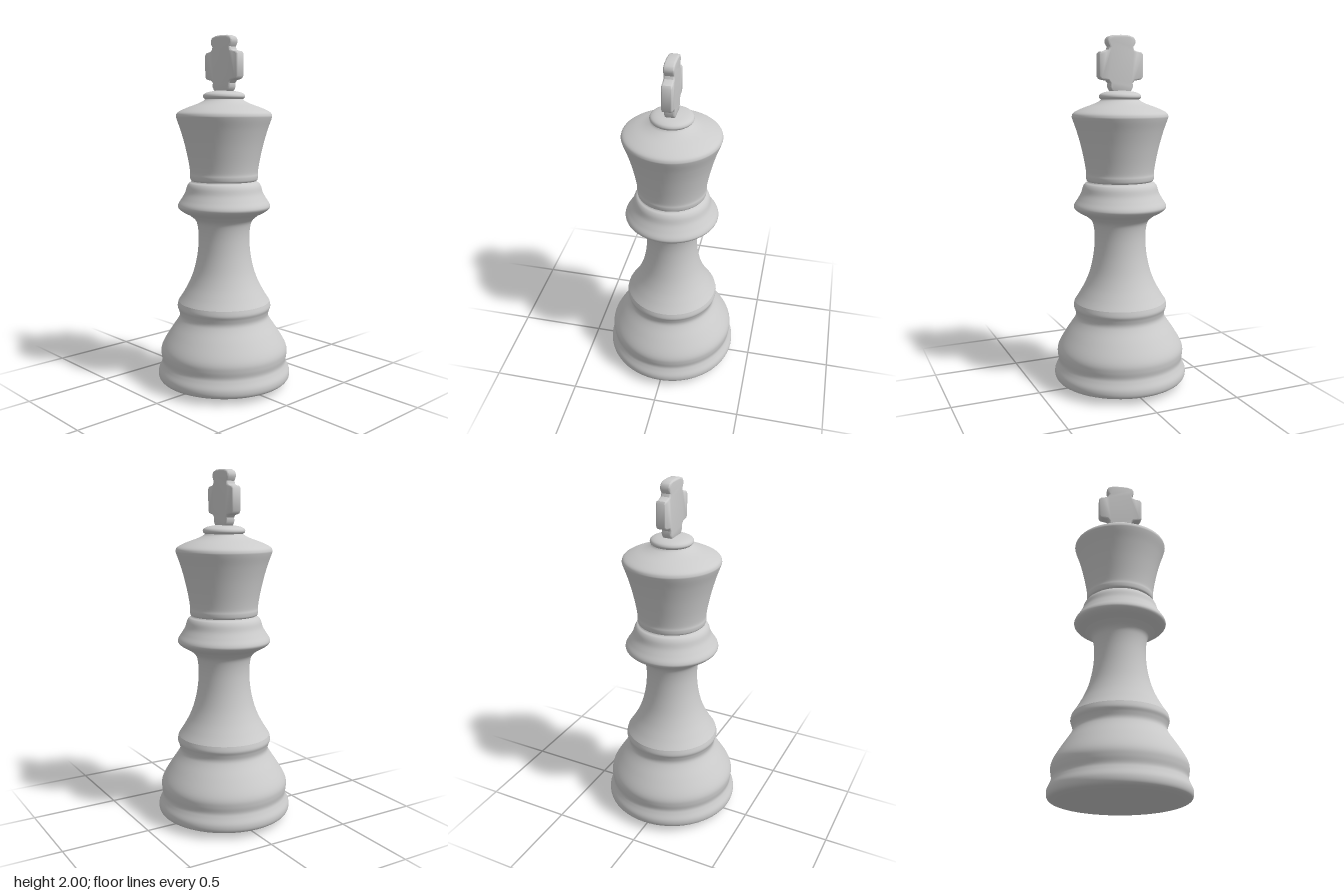
import * as THREE from 'three';
import { mergeVertices, toCreasedNormals } from 'three/addons/utils/BufferGeometryUtils.js';

const material = new THREE.MeshStandardMaterial({ color: 0xcccccc, side: THREE.DoubleSide });

// Smooth curve through [radius, height] points, turned about the y axis
function turned(name, points, steps) {
  const curve = new THREE.SplineCurve(points.map(([r, y]) => new THREE.Vector2(r, y)));
  const profile = curve.getPoints(steps).map(p => new THREE.Vector2(Math.max(p.x, 0), p.y));
  const mesh = new THREE.Mesh(new THREE.LatheGeometry(profile, 64), material);
  mesh.name = name;
  return mesh;
}

// Flat cross finial, upright in the yz plane
function finial() {
  const half = [
    [0.045, 1.685], [0.06, 1.7], [0.07, 1.718], [0.068, 1.738], [0.08, 1.752], [0.108, 1.757],
    [0.122, 1.761], [0.132, 1.775], [0.132, 1.895], [0.122, 1.908], [0.095, 1.912],
    [0.077, 1.92], [0.071, 1.935], [0.083, 1.955], [0.084, 1.973], [0.073, 1.989], [0.045, 1.998], [0, 2],
  ];
  const mirrored = half.slice(0, -1).reverse().map(([z, y]) => [-z, y]);
  const shape = new THREE.Shape([...half, ...mirrored].map(([z, y]) => new THREE.Vector2(z, y)));
  const bevel = 0.01;
  let geometry = new THREE.ExtrudeGeometry(shape, {
    depth: 0.058 - 2 * bevel, bevelSize: bevel, bevelThickness: bevel,
    bevelOffset: -bevel, bevelSegments: 4,
  });
  geometry.translate(0, 0, -0.029 + bevel);
  geometry.rotateY(Math.PI / 2);
  geometry.deleteAttribute('normal');
  geometry.deleteAttribute('uv');
  geometry = toCreasedNormals(mergeVertices(geometry), 0.7);
  const mesh = new THREE.Mesh(geometry, material);
  mesh.name = 'crossFinial';
  return mesh;
}

export function createModel() {
  const group = new THREE.Group();
  group.name = 'chessKing';

  // Shallow cone underneath
  group.add(turned('underside', [[0, 0], [0.12, 0.01], [0.24, 0.02], [0.34, 0.029]], 8));

  // Stepped foot
  group.add(turned('base', [
    [0.34, 0.029], [0.37, 0.037], [0.383, 0.055], [0.383, 0.085], [0.368, 0.12], [0.361, 0.145],
    [0.366, 0.18], [0.366, 0.215], [0.35, 0.255], [0.31, 0.32], [0.27, 0.38], [0.257, 0.41],
    [0.262, 0.44], [0.27, 0.465], [0.264, 0.495],
  ], 70));

  // Concave stem
  group.add(turned('stem', [
    [0.264, 0.495], [0.235, 0.54], [0.2, 0.605], [0.172, 0.68], [0.153, 0.77],
    [0.146, 0.86], [0.151, 0.93], [0.165, 0.968], [0.2, 0.998],
  ], 50));

  // Flared collar with the groove above it
  group.add(turned('collar', [
    [0.2, 0.998], [0.24, 1.019], [0.262, 1.04], [0.261, 1.06], [0.242, 1.09], [0.222, 1.125],
    [0.211, 1.16], [0.2, 1.178], [0.188, 1.186], [0.183, 1.192],
  ], 50));

  // Crown widening upward to a sloping shoulder
  group.add(turned('crown', [
    [0.183, 1.192], [0.191, 1.2], [0.194, 1.22], [0.193, 1.245], [0.203, 1.31], [0.223, 1.4],
    [0.246, 1.48], [0.267, 1.54], [0.27, 1.56], [0.257, 1.579], [0.21, 1.602], [0.15, 1.624],
    [0.117, 1.64], [0.107, 1.65],
  ], 64));

  // Small rounded button under the finial
  group.add(turned('topButton', [
    [0.107, 1.65], [0.116, 1.658], [0.118, 1.668], [0.11, 1.68], [0.085, 1.69], [0.04, 1.697], [0, 1.698],
  ], 28));

  group.add(finial());
  return group;
}
